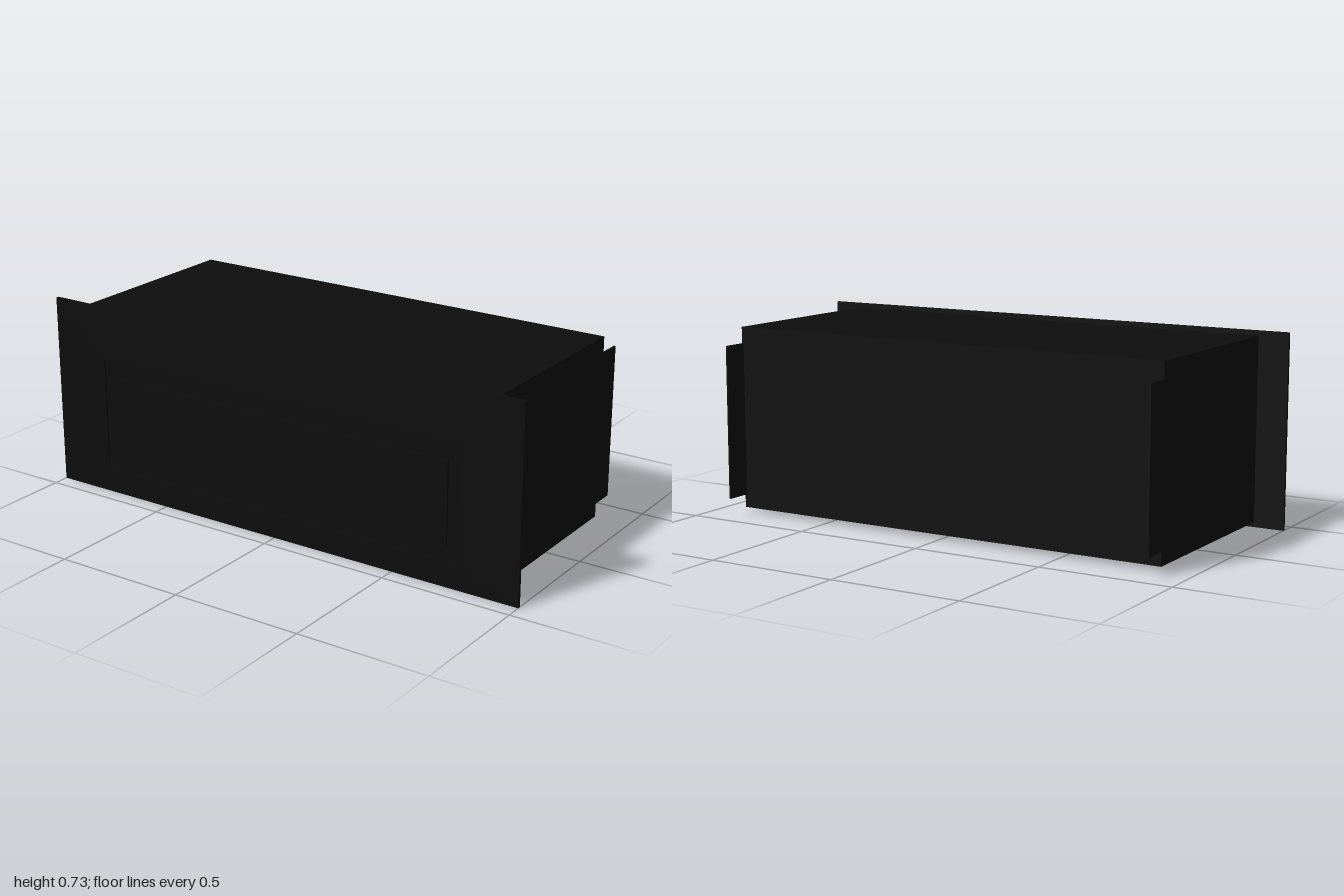
import * as THREE from 'three';

export function createModel() {
  const group = new THREE.Group();
  const black = new THREE.MeshStandardMaterial({ color: 0x0d0d0d });
  black.name = 'matte black';

  // Box given by its min and max corners
  const box = (name, [x0, y0, z0], [x1, y1, z1]) => {
    const mesh = new THREE.Mesh(new THREE.BoxGeometry(x1 - x0, y1 - y0, z1 - z0), black);
    mesh.position.set((x0 + x1) / 2, (y0 + y1) / 2, (z0 + z1) / 2);
    mesh.name = name;
    group.add(mesh);
  };
  const rect = (Type, x0, y0, x1, y1) => new Type([
    new THREE.Vector2(x0, y0), new THREE.Vector2(x1, y0),
    new THREE.Vector2(x1, y1), new THREE.Vector2(x0, y1),
  ]);

  const backZ = -0.344, plateZ = 0.428, grooveZ = 0.434, frontZ = 0.44;

  // Closed housing
  box('housing', [-0.883, 0.018, backZ], [0.883, 0.712, plateZ]);

  // Thin mounting flanges running back from both sides
  for (const [name, s] of [['leftFlange', 1], ['rightFlange', -1]]) {
    const xs = [s * 0.876, s * 0.883].sort((a, b) => a - b);
    box(name, [xs[0], 0.068, -0.44], [xs[1], 0.65, backZ]);
  }

  // Front plate with a shallow rectangular groove around a flush centre panel
  box('frontPlateBase', [-1, 0, plateZ], [1, 0.73, grooveZ]);
  const frame = rect(THREE.Shape, -1, 0, 1, 0.73);
  frame.holes.push(rect(THREE.Path, -0.775, 0.095, 0.775, 0.53));
  const frameMesh = new THREE.Mesh(
    new THREE.ExtrudeGeometry(frame, { depth: frontZ - grooveZ, bevelEnabled: false }), black);
  frameMesh.position.z = grooveZ;
  frameMesh.name = 'frontPlateFrame';
  group.add(frameMesh);
  box('centrePanel', [-0.718, 0.148, grooveZ], [0.718, 0.463, frontZ]);

  return group;
}
